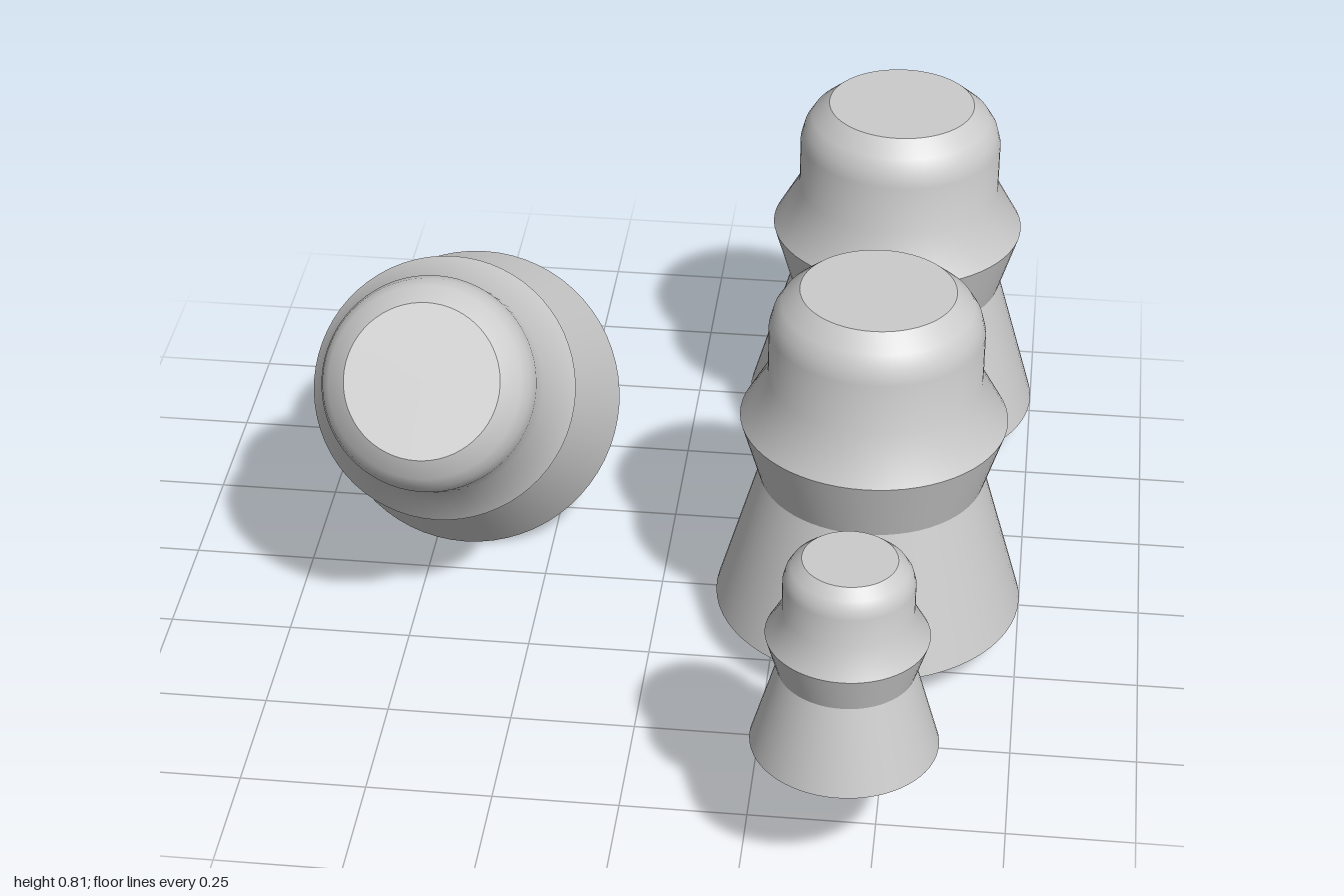
import * as THREE from 'three';
import { toCreasedNormals } from 'three/addons/utils/BufferGeometryUtils.js';

// Half profile from the base centre to the top centre: [radius, height]
const PROFILE = [
  [0, 0], [0.313, 0],      // flat base
  [0.228, 0.298],          // waist
  [0.269, 0.433],          // collar ridge
  [0.215, 0.53],           // shoulder
  [0.215, 0.638],          // neck
  [0.207, 0.669], [0.191, 0.695], [0.155, 0.726], // rounded rim
  [0, 0.726],              // flat top
];

function makeGeometry() {
  const points = PROFILE.map(([r, y]) => new THREE.Vector2(r, y));
  return toCreasedNormals(new THREE.LatheGeometry(points, 64), THREE.MathUtils.degToRad(31));
}

export function createModel() {
  const group = new THREE.Group();
  group.name = 'turnedPegs';
  const geometry = makeGeometry();
  const material = new THREE.MeshStandardMaterial({ color: 0xcccccc });

  // Each copy: position of its base centre, scale and forward tilt in degrees
  const pegs = [
    { name: 'smallPeg', position: [0.437, 0.262, 0.822], scale: 0.57, tilt: 0 },
    { name: 'middlePeg', position: [0.437, 0.077, 0.086], scale: 1, tilt: 0 },
    { name: 'backPeg', position: [0.437, 0.077, -0.687], scale: 1, tilt: 0 },
    { name: 'tiltedPeg', position: [-0.438, 0.257, -0.277], scale: 1, tilt: 55 },
  ];
  for (const { name, position, scale, tilt } of pegs) {
    const peg = new THREE.Mesh(geometry, material);
    peg.name = name;
    peg.position.set(...position);
    peg.scale.setScalar(scale);
    peg.rotation.x = THREE.MathUtils.degToRad(tilt);
    group.add(peg);
  }
  return group;
}
